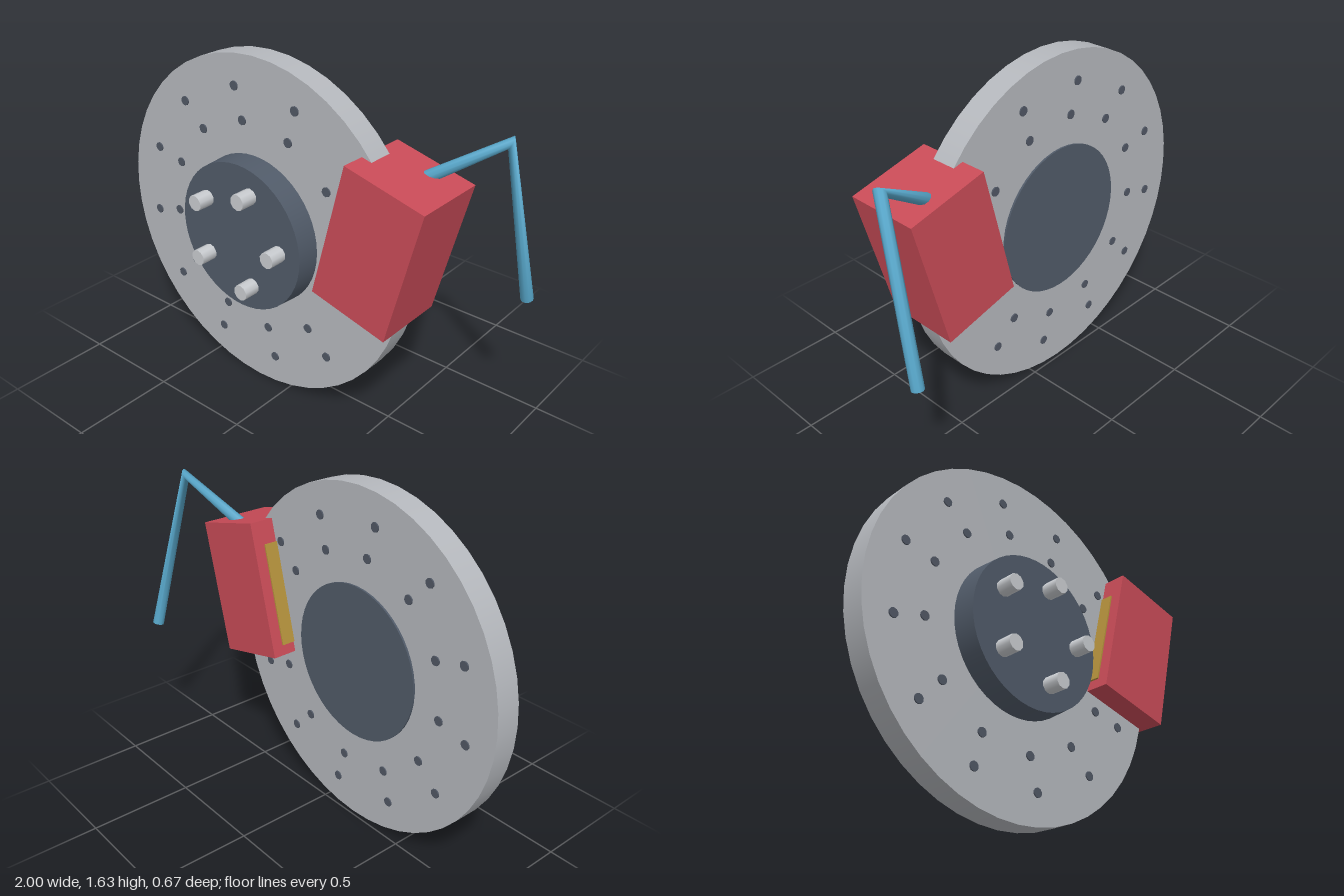
import * as THREE from 'three';

const mat = (name, color) => {
  const m = new THREE.MeshStandardMaterial({ color });
  m.name = name;
  return m;
};

// Straight-segment path with an averaged tangent at each bend
class BentPath extends THREE.Curve {
  constructor(points) {
    super();
    this.points = points;
  }
  getPoint(t) {
    const n = this.points.length - 1;
    const i = Math.min(Math.floor(t * n), n - 1);
    return this.points[i].clone().lerp(this.points[i + 1], t * n - i);
  }
  getPointAt(t) { return this.getPoint(t); }
  getTangentAt(t) {
    const p = this.points, n = p.length - 1, i = Math.round(t * n);
    const d = new THREE.Vector3();
    if (i > 0) d.add(p[i].clone().sub(p[i - 1]).normalize());
    if (i < n) d.add(p[i + 1].clone().sub(p[i]).normalize());
    return d.normalize();
  }
}

export function createModel() {
  const model = new THREE.Group();
  model.name = 'discBrake';

  const steel = mat('discSteel', 0xb4b7bc);
  const dark = mat('hubGrey', 0x505a68);
  const holeDark = mat('holeGrey', 0x505764);
  const boltSteel = mat('boltSteel', 0xc8cbcf);
  const red = mat('caliperRed', 0xc84b57);
  const brass = mat('padBrass', 0xb5923c);
  const blue = mat('hoseBlue', 0x56a5c8);

  const add = (parent, name, geometry, material, x = 0, y = 0, z = 0) => {
    const m = new THREE.Mesh(geometry, material);
    m.name = name;
    m.position.set(x, y, z);
    parent.add(m);
    return m;
  };
  // Cylinder along z between two depths
  const rod = (rFront, rBack, z0, z1, sides) =>
    new THREE.CylinderGeometry(rFront, rBack, z1 - z0, sides)
      .rotateX(Math.PI / 2).translate(0, 0, (z0 + z1) / 2);

  // Disc and hub
  const rotor = new THREE.Group();
  rotor.name = 'rotor';
  rotor.position.set(-0.185, 0.817, 0);
  model.add(rotor);
  add(rotor, 'disc', rod(0.815, 0.815, 0.018, 0.14, 48), steel);
  add(rotor, 'hub', rod(0.356, 0.371, 0.008, 0.25, 48), dark);

  // Two rings of drilled holes
  const hole = rod(0.022, 0.022, 0.012, 0.146, 10);
  for (const [radius, offset] of [[0.671, 9.1], [0.517, 7.1]]) {
    for (let i = 0; i < 12; i++) {
      const a = THREE.MathUtils.degToRad(offset + i * 30);
      add(rotor, 'ventHole', hole, holeDark, radius * Math.cos(a), radius * Math.sin(a));
    }
  }

  // Wheel bolts
  const bolt = rod(0.038, 0.038, 0.24, 0.333, 10);
  for (let i = 0; i < 5; i++) {
    const a = i * Math.PI * 2 / 5;
    add(rotor, 'wheelBolt', bolt, boltSteel, 0.238 * Math.cos(a), 0.238 * Math.sin(a));
  }

  // Tilted caliper with its pad
  const caliper = new THREE.Group();
  caliper.name = 'caliper';
  caliper.position.set(0.515, 0.973, 0.075);
  caliper.rotation.z = THREE.MathUtils.degToRad(-14.1);
  model.add(caliper);
  add(caliper, 'caliperBody', new THREE.BoxGeometry(0.392, 0.65, 0.36), red);
  add(caliper, 'brakePad', new THREE.BoxGeometry(0.05, 0.49, 0.25), brass, -0.179, -0.03, 0);

  // Bent hose with end cap
  const path = new BentPath([
    new THREE.Vector3(0.62, 1.262, -0.008),
    new THREE.Vector3(0.914, 1.453, -0.115),
    new THREE.Vector3(0.97, 0.692, -0.307),
  ]);
  add(model, 'hose', new THREE.TubeGeometry(path, 2, 0.028, 10, false), blue);
  const cap = add(model, 'hoseEnd', new THREE.CircleGeometry(0.028, 10), blue);
  cap.position.copy(path.getPoint(1));
  cap.lookAt(path.getPoint(1).add(path.getTangentAt(1)));

  return model;
}
